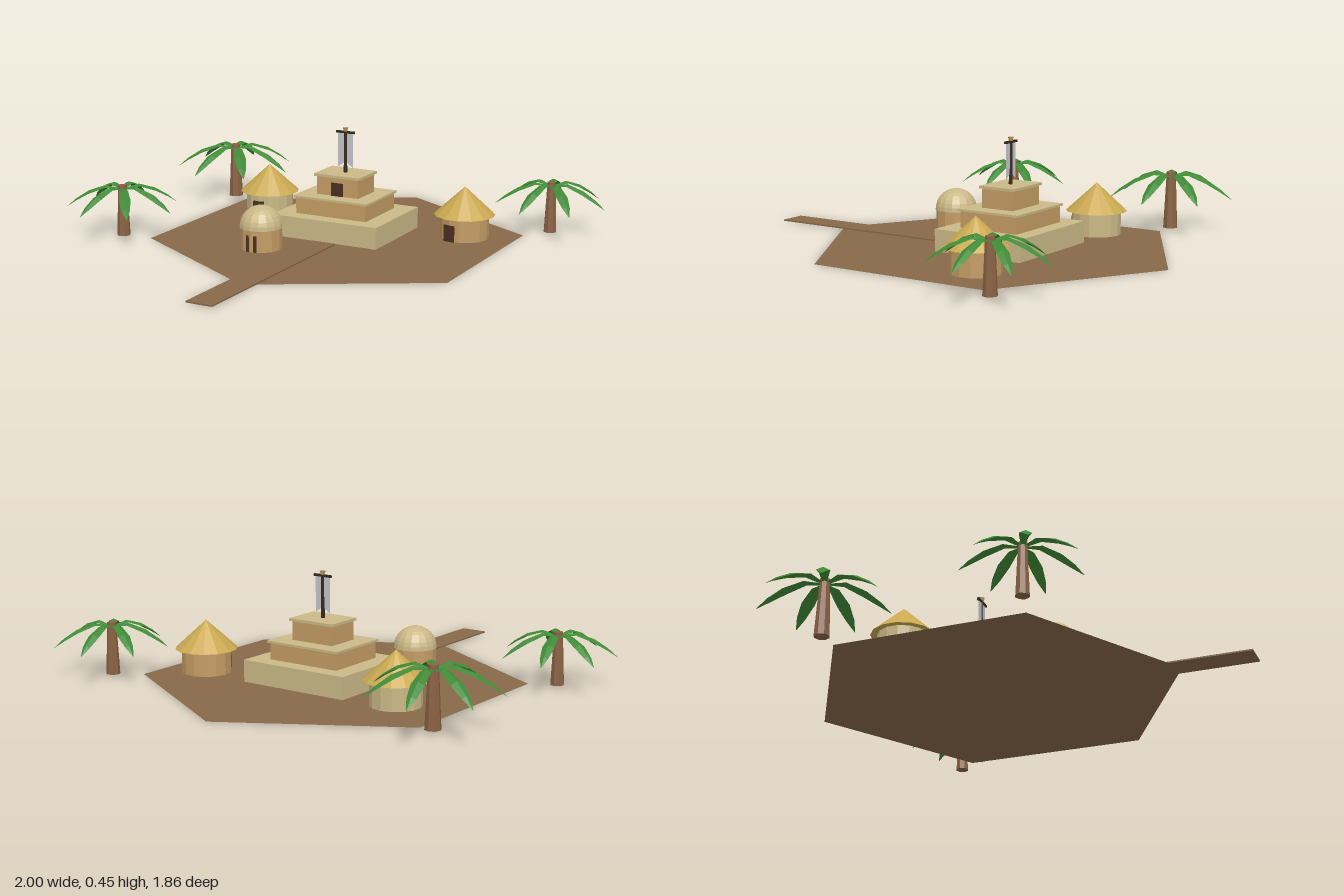
import * as THREE from 'three';

const mat = (name, color, opts = {}) => {
  const m = new THREE.MeshStandardMaterial({ color, ...opts });
  m.name = name;
  return m;
};

export function createModel() {
  const root = new THREE.Group();
  root.name = 'village';
  const flat = { flatShading: true };
  const both = { flatShading: true, side: THREE.DoubleSide };
  const M = {
    earth: mat('earth', 0x876849, both),
    stone: mat('pale stone', 0xcab886, flat),
    mud: mat('mud brick', 0xc49c64, flat),
    thatch: mat('thatch', 0xc9a850, both),
    door: mat('dark doorway', 0x4a3022, flat),
    trunk: mat('palm trunk', 0x8a6243, flat),
    leaf: mat('palm leaf', 0x3f8a36, both),
    pole: mat('dark pole', 0x33281e, flat),
    cloth: mat('banner cloth', 0xc6c6ca, both),
  };
  const BASE = 0.008;

  const add = (parent, name, geo, material, x = 0, y = 0, z = 0) => {
    const mesh = new THREE.Mesh(geo, material);
    mesh.name = name;
    mesh.position.set(x, y, z);
    parent.add(mesh);
    return mesh;
  };
  const group = (name, x, y, z) => {
    const g = new THREE.Group();
    g.name = name;
    g.position.set(x, y, z);
    root.add(g);
    return g;
  };
  // Box standing on y
  const box = (parent, name, material, w, h, d, x, y, z) =>
    add(parent, name, new THREE.BoxGeometry(w, h, d), material, x, y + h / 2, z);

  // Hexagonal ground sheet and the path leading in
  const hex = new THREE.CircleGeometry(0.78, 6, Math.PI / 2);
  hex.rotateX(-Math.PI / 2);
  add(root, 'ground', hex, M.earth, 0, 0, -0.15);
  box(root, 'path', M.earth, 0.114, 0.006, 0.945, 0, 0.003, 0.4525);

  // Stepped temple
  const temple = group('temple', 0, 0, -0.22);
  box(temple, 'lowerTier', M.stone, 0.486, 0.09, 0.4, 0, BASE, 0);
  box(temple, 'middleTier', M.mud, 0.325, 0.068, 0.265, 0, 0.098, 0);
  box(temple, 'middleCap', M.stone, 0.342, 0.009, 0.282, 0, 0.166, 0);
  box(temple, 'upperTier', M.mud, 0.194, 0.078, 0.145, 0, 0.175, 0);
  box(temple, 'upperCap', M.stone, 0.212, 0.011, 0.163, 0, 0.253, 0);
  box(temple, 'templeDoor', M.door, 0.054, 0.056, 0.006, 0, 0.175, 0.0735);

  // Mast with crossbar, banner and finial
  add(temple, 'mast', new THREE.CylinderGeometry(0.006, 0.008, 0.18, 8), M.pole, 0, 0.354, 0);
  box(temple, 'crossbar', M.pole, 0.084, 0.009, 0.01, 0, 0.43, 0);
  add(temple, 'finial', new THREE.CylinderGeometry(0.012, 0.007, 0.016, 8), M.mud, 0, 0.446, 0);
  const banner = new THREE.Shape([
    [-0.035, 0.432], [-0.035, 0.285], [0, 0.308], [0.035, 0.285], [0.035, 0.432],
  ].map(([x, y]) => new THREE.Vector2(x, y)));
  add(temple, 'banner', new THREE.ShapeGeometry(banner), M.cloth);

  // Round huts with conical roofs
  const hut = (name, x, z, turn, wall) => {
    const g = group(name, x, 0, z);
    add(g, 'wall', new THREE.CylinderGeometry(0.102, 0.102, 0.1, 14), wall, 0, BASE + 0.05, 0);
    add(g, 'roof', new THREE.ConeGeometry(0.128, 0.118, 14), M.thatch, 0, 0.165, 0);
    box(g, 'door', M.door, 0.05, 0.068, 0.012, 0, BASE, 0.1);
    g.rotation.y = turn;
  };
  hut('leftRearHut', 0.478, -0.375, -0.27, M.mud);
  hut('rightRearHut', -0.448, -0.36, 0, M.stone);

  // Domed hut
  const dome = group('domedHut', -0.181, 0, 0.17);
  add(dome, 'wall', new THREE.CylinderGeometry(0.085, 0.085, 0.092, 12), M.mud, 0, BASE + 0.046, 0);
  add(dome, 'dome', new THREE.SphereGeometry(0.089, 16, 8, 0, Math.PI * 2, 0, Math.PI / 2), M.stone, 0, 0.097, 0);
  add(dome, 'domeUnderside', new THREE.CircleGeometry(0.089, 16).rotateX(Math.PI / 2), M.stone, 0, 0.097, 0);
  box(dome, 'door', M.door, 0.047, 0.068, 0.012, 0, BASE, 0.0763);

  // Drooping frond: left edge, midrib and right edge at each station [reach, height, half width]
  const stations = [
    [0.01, 0.208, 0.007], [0.07, 0.221, 0.018], [0.14, 0.198, 0.024],
    [0.195, 0.163, 0.016], [0.235, 0.128, 0.001],
  ];
  const pos = [];
  const index = [];
  stations.forEach(([r, y, w], i) => {
    pos.push(r, y - w * 0.45, -w, r, y, 0, r, y - w * 0.45, w);
    if (i === 0) return;
    for (let k = 0; k < 2; k++) {
      const a = (i - 1) * 3 + k;
      const b = i * 3 + k;
      index.push(a, a + 1, b, b, a + 1, b + 1);
    }
  });
  const frond = new THREE.BufferGeometry();
  frond.setAttribute('position', new THREE.Float32BufferAttribute(pos, 3));
  frond.setIndex(index);
  frond.computeVertexNormals();

  // Palms, each with seven fronds
  const palm = (name, x, z, scale) => {
    const g = group(name, x, BASE * (1 - scale), z);
    add(g, 'trunk', new THREE.CylinderGeometry(0.018, 0.028, 0.214, 8), M.trunk, 0, BASE + 0.107, 0);
    for (let i = 0; i < 7; i++) {
      add(g, 'frond', frond, M.leaf).rotation.y = (i / 7) * Math.PI * 2;
    }
    g.scale.setScalar(scale);
  };
  palm('rightRearPalm', -0.742, -0.555, 1.12);
  palm('leftRearPalm', 0.762, -0.627, 1);
  palm('rightFrontPalm', -0.79, 0.27, 1);

  return root;
}
